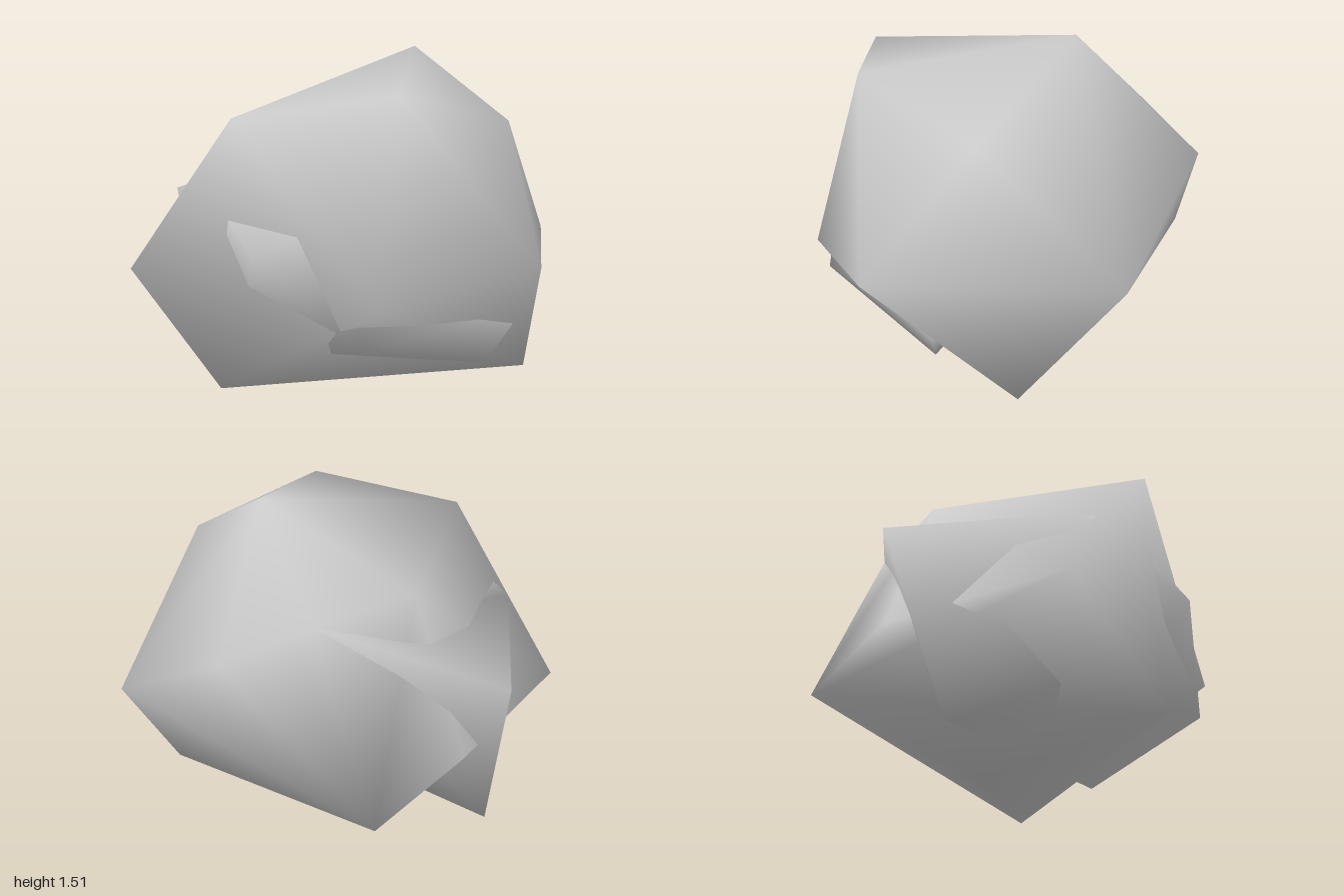
import * as THREE from 'three';
import { ConvexGeometry } from 'three/addons/geometries/ConvexGeometry.js';
import { mergeVertices } from 'three/addons/utils/BufferGeometryUtils.js';

const material = new THREE.MeshStandardMaterial({ color: 0xcccccc, side: THREE.DoubleSide });

// A low-poly stone spanned by its corners, with normals smoothed across the facets
function stone(name, corners) {
  const hull = new ConvexGeometry(corners.map((c) => new THREE.Vector3(...c)));
  hull.deleteAttribute('normal');
  const geometry = mergeVertices(hull, 1e-4);
  geometry.computeVertexNormals();
  const mesh = new THREE.Mesh(geometry, material);
  mesh.name = name;
  return mesh;
}

export function createModel() {
  const group = new THREE.Group();
  group.name = 'boulder';

  // Large stone: crown, girdle and base corners
  group.add(stone('mainStone', [
    [0.36, 1.51, -0.15], [-0.64, 1.24, 0.41], [0, 1.34, 0.69], [0.6, 1.2, 0.4],
    [0.6, 0.98, -0.63], [-0.25, 1.15, -0.45], [0.2, 1.09, -0.57],
    [1, 0.63, -0.09], [0.54, 0.64, 0.89], [-0.15, 0.5, 0.88], [-1, 0.54, -0.08],
    [-0.43, 0.48, -0.68], [0, 0.3, -0.9],
    [0.75, 0.05, 0.28], [-0.7, 0.11, 0.43], [0, 0, -0.14],
  ]));

  // Second stone, its corners poking out at the back right, front right and underside
  group.add(stone('lowerStone', [
    [0.2, 1.09, -0.57], [-0.6, 0.82, -0.74], [-0.8, 0.91, 0.02], [-0.72, 0.96, 0.22],
    [-0.6, 0.69, 0.61], [-0.25, 0.85, 0.65], [-0.58, 0.38, 0.35],
    [-0.2, 0.32, 0.82], [0.45, 0.16, 0.54], [0.6, 0.42, 0.62], [-0.6, 0.02, -0.46],
  ]));

  return group;
}
